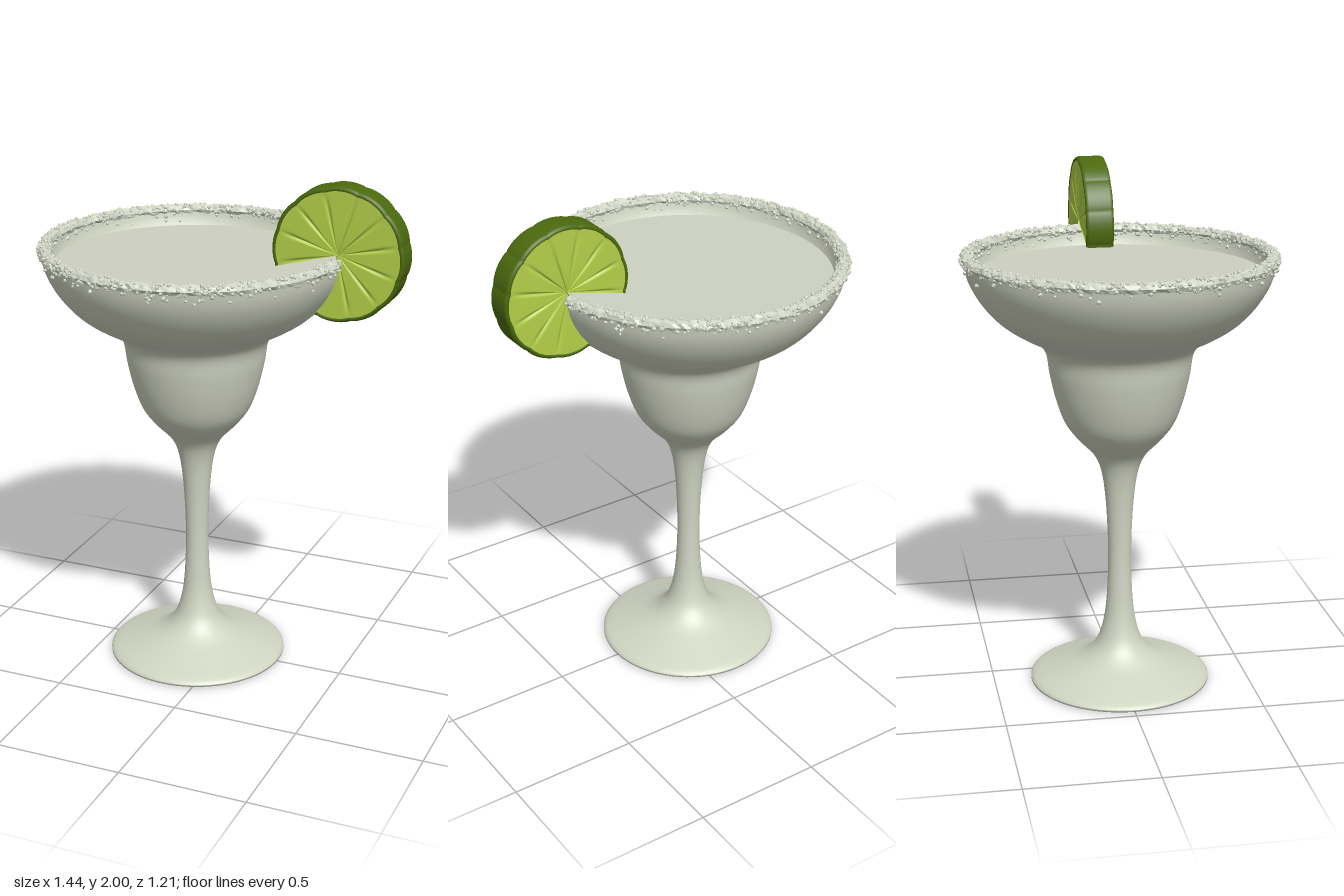
import * as THREE from 'three';
import { mergeGeometries } from 'three/addons/utils/BufferGeometryUtils.js';
import { ParametricGeometry } from 'three/addons/geometries/ParametricGeometry.js';

// seeded random numbers for the salt
let seed = 7;
const rand = () => {
  seed = (seed * 16807) % 2147483647;
  return seed / 2147483647;
};
const spread = (a) => (rand() * 2 - 1) * a;

const mat = (name, color, extra = {}) =>
  Object.assign(new THREE.MeshStandardMaterial({ color }), { name }, extra);

function add(parent, name, geometry, material) {
  const mesh = new THREE.Mesh(geometry, material);
  mesh.name = name;
  parent.add(mesh);
  return mesh;
}

// smooth curve through [radius, height] points
const smooth = (pts, n) =>
  new THREE.SplineCurve(pts.map(([r, y]) => new THREE.Vector2(r, y))).getPoints(n);

function createGlass(glass, liquid, salt) {
  const group = new THREE.Group();
  group.name = 'margaritaGlass';

  // foot, stem, lower cup and wide bowl
  const outer = smooth([
    [0.354, 0.015], [0.335, 0.03], [0.25, 0.06], [0.16, 0.095], [0.105, 0.14], [0.075, 0.2],
    [0.055, 0.3], [0.046, 0.45], [0.046, 0.58], [0.054, 0.74], [0.07, 0.86], [0.1, 0.935],
    [0.165, 1.005], [0.212, 1.07], [0.245, 1.16], [0.268, 1.26], [0.281, 1.34], [0.312, 1.385],
    [0.375, 1.42], [0.435, 1.457], [0.485, 1.5], [0.53, 1.555], [0.562, 1.61], [0.58, 1.66], [0.589, 1.715],
  ], 110);
  add(group, 'glassBody', new THREE.LatheGeometry(outer, 72), glass);

  // flat underside with a thin edge
  const under = [[0, 0.004], [0.345, 0.004], [0.354, 0.008], [0.354, 0.015]];
  add(group, 'footUnderside',
    new THREE.LatheGeometry(under.map(([r, y]) => new THREE.Vector2(r, y)), 72), glass);

  // inner wall above the drink
  const inner = smooth([[0.589, 1.715], [0.575, 1.722], [0.56, 1.71], [0.55, 1.67], [0.53, 1.625]], 12);
  add(group, 'innerWall', new THREE.LatheGeometry(inner, 72), glass);

  // drink surface
  const drink = add(group, 'drinkSurface', new THREE.CircleGeometry(0.545, 72), liquid);
  drink.rotation.x = -Math.PI / 2;
  drink.position.y = 1.65;

  // rough salted band
  const around = 200, tube = 8;
  const bumps = Array.from({ length: around * tube }, () => 0.019 + rand() * 0.008);
  const band = new ParametricGeometry((u, v, p) => {
    const i = Math.round(u * around) % around;
    const j = Math.round(v * tube) % tube;
    const b = bumps[i * tube + j];
    const a = u * Math.PI * 2, t = v * Math.PI * 2;
    const r = 0.573 + b * Math.cos(t);
    p.set(r * Math.sin(a), 1.709 + b * 0.9 * Math.sin(t), r * Math.cos(a));
  }, around, tube);
  band.computeVertexNormals();
  add(group, 'saltBand', band, salt);

  // loose grains on the band and on both sides below it
  const grains = [];
  for (let i = 0; i < 1100; i++) {
    const a = rand() * Math.PI * 2;
    const t = rand() * Math.PI * 2;
    const g = new THREE.IcosahedronGeometry(0.005 + rand() * 0.005, 0);
    g.rotateX(rand() * 3).rotateY(rand() * 3);
    let r = 0.573 + 0.023 * Math.cos(t), y = 1.709 + 0.02 * Math.sin(t);
    if (i % 7 === 0) {
      y = 1.69 - rand() * rand() * 0.04;
      r = i % 2 ? 0.587 : 0.553;
    }
    g.translate(r * Math.sin(a), y + spread(0.002), r * Math.cos(a));
    grains.push(g);
  }
  add(group, 'saltGrains', mergeGeometries(grains), salt);
  return group;
}

function createLime(flesh, rind) {
  const group = new THREE.Group();
  group.name = 'limeSlice';
  const R = 0.257, half = 0.055, segments = 12;
  // the notch between the two cuts sits over the rim of the glass
  const start = THREE.MathUtils.degToRad(-110);
  const end = THREE.MathUtils.degToRad(195);
  const angle = (u) => start + (end - start) * u;
  const lobe = (a) => Math.abs(Math.sin((a - 0.22) * segments / 2));
  const edge = (a) => R - 0.006 + 0.006 * Math.sqrt(lobe(a));

  // pulp faces: raised segments with grooves between them
  for (const side of [1, -1]) {
    const face = new ParametricGeometry((u, v, p) => {
      const a = angle(u);
      const k = side > 0 ? 1 - v : v;
      const r = 0.004 + (edge(a) - 0.02) * k;
      const groove = Math.exp(-Math.pow(lobe(a) / 0.22, 2)) * 0.008 * Math.sin(Math.PI * Math.min(1, k * 0.9 + 0.1));
      const dip = 0.008 * Math.pow(1 - k, 6);
      p.set(r * Math.cos(a), r * Math.sin(a), side * (half - 0.003 - groove - dip));
    }, 240, 12);
    add(group, side > 0 ? 'frontPulp' : 'backPulp', face, flesh);
  }

  // rind with rounded edges
  const section = [[0.018, -0.05], [0.012, -half], [0.004, -0.052], [0, -0.042],
    [0, 0.042], [0.004, 0.052], [0.012, half], [0.018, 0.05]];
  const peel = new ParametricGeometry((u, v, p) => {
    const a = angle(u);
    const f = Math.min(v * 7, 6.9999), i = Math.floor(f);
    const inset = THREE.MathUtils.lerp(section[i][0], section[i + 1][0], f - i);
    const z = THREE.MathUtils.lerp(section[i][1], section[i + 1][1], f - i);
    const r = edge(a) - inset;
    p.set(r * Math.cos(a), r * Math.sin(a), z);
  }, 240, 7);
  peel.computeVertexNormals();
  add(group, 'rind', peel, rind);

  // cut faces of the notch
  for (const a of [start, end]) {
    const cut = new THREE.PlaneGeometry(R - 0.01, half * 2 - 0.008);
    cut.rotateX(Math.PI / 2).translate((R - 0.01) / 2, 0, 0);
    add(group, 'notchFace', cut, flesh).rotation.z = a;
  }
  group.position.set(0.46, 1.744, -0.02);
  return group;
}

export function createModel() {
  const glass = mat('frostedGlass', 0xd0d5c2, { side: THREE.DoubleSide });
  const liquid = mat('drink', 0xcdd1c0);
  const salt = mat('salt', 0xd0d5c4, { flatShading: true, side: THREE.DoubleSide });
  const flesh = mat('limePulp', 0xb4d04a, { side: THREE.DoubleSide });
  const rind = mat('limeRind', 0x4c6a0e, { side: THREE.DoubleSide });

  const model = new THREE.Group();
  model.name = 'margarita';
  const cup = createGlass(glass, liquid, salt);
  cup.position.x = -0.118;
  model.add(cup, createLime(flesh, rind));
  return model;
}
